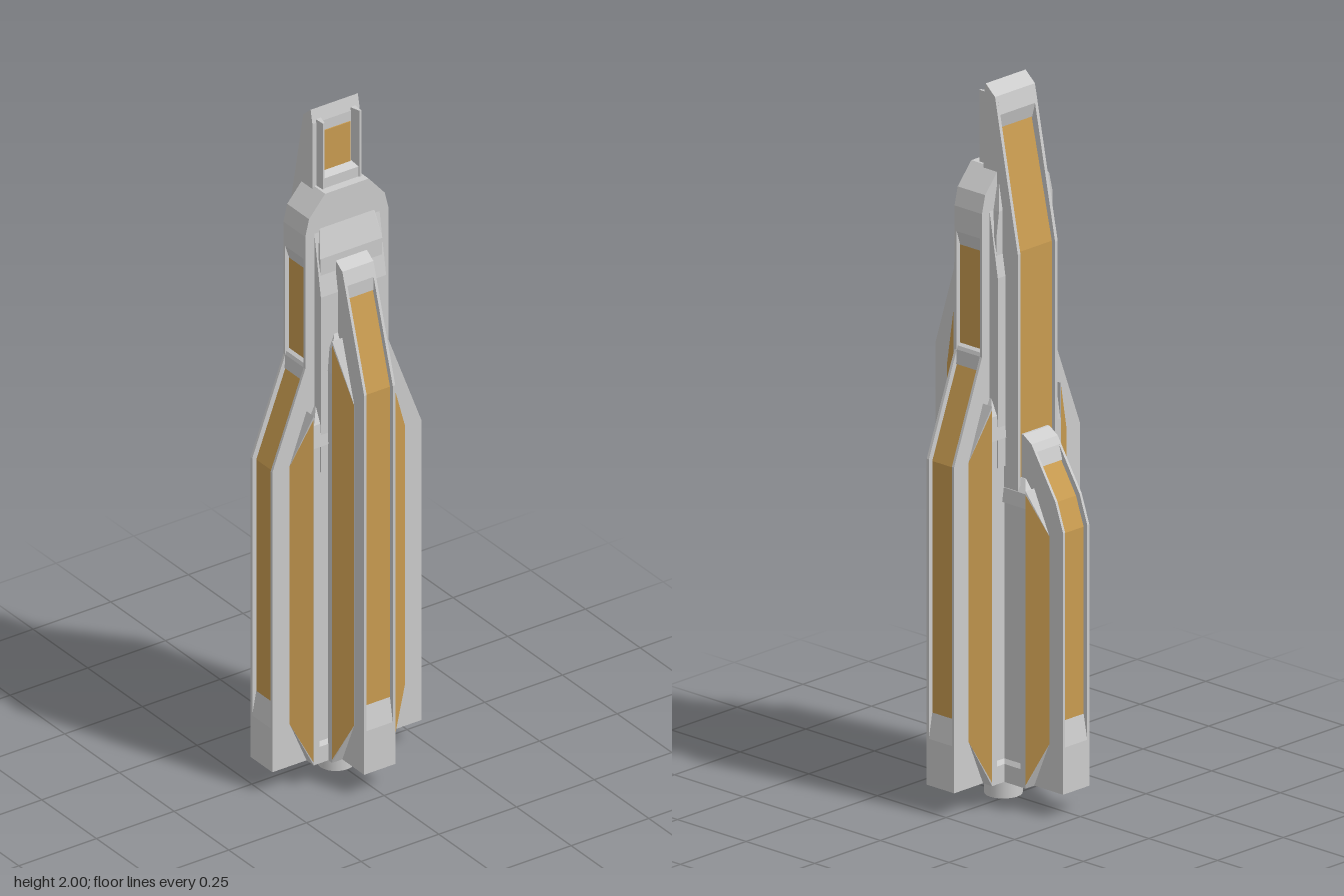
import * as THREE from 'three';
import { ConvexGeometry } from 'three/addons/geometries/ConvexGeometry.js';

const grey = new THREE.MeshStandardMaterial({ color: 0xcccccc, flatShading: true });
const amber = new THREE.MeshStandardMaterial({ color: 0xc89b50, flatShading: true, side: THREE.DoubleSide });
const AXIS = 0.03; // the core sits slightly off centre

function add(parent, name, geometry, material = grey) {
  const mesh = new THREE.Mesh(geometry, material);
  mesh.name = name;
  parent.add(mesh);
  return mesh;
}

// Flat outline in x,y extruded between two z values
function slab(points, z0, z1) {
  const shape = new THREE.Shape(points.map(([x, y]) => new THREE.Vector2(x, y)));
  const g = new THREE.ExtrudeGeometry(shape, { depth: z1 - z0, bevelEnabled: false });
  return g.translate(0, 0, z0);
}

const hull = (points) => new ConvexGeometry(points.map((p) => new THREE.Vector3(...p)));

function quad(a, b, c, d) {
  const g = new THREE.BufferGeometry();
  g.setAttribute('position', new THREE.Float32BufferAttribute([...a, ...b, ...c, ...a, ...c, ...d], 3));
  g.computeVertexNormals();
  return g;
}

// Stacked rectangles [y, xMin, xMax, halfDepth] joined into one convex block
const stack = (rows) => hull(rows.flatMap(([y, x0, x1, w]) =>
  [[x0, y, -w], [x1, y, -w], [x0, y, w], [x1, y, w]]));

// Distance of the outer edge from the axis at a height
function edgeAt(edge, y) {
  for (let i = 1; i < edge.length; i++) {
    const [t0, y0] = edge[i - 1], [t1, y1] = edge[i];
    if (y <= y1) return y <= y0 ? t0 : t0 + (t1 - t0) * (y - y0) / (y1 - y0);
  }
  return edge[edge.length - 1][0];
}

// Buttress pointing along +x: rails, recessed strip, foot and cap
function buttress(name, { base, edge, stripTop, width = 0.05, foot = true }) {
  const group = new THREE.Group();
  group.name = name;
  const rail = 0.008, recess = 0.013;
  const T = edge[0][0], top = edge[edge.length - 1][1];
  const inner = width - rail;

  const outline = [[0, base], [T, base], ...edge, [0, top]];
  for (const s of [-1, 1]) {
    const z = s * (width - rail / 2);
    add(group, 'rail', slab(outline, z - rail / 2, z + rail / 2));
  }
  const sunk = [[0, base + 0.005], [T - recess, base + 0.005],
    ...edge.map(([t, y]) => [t - recess, y - 0.008]), [0, top - 0.008]];
  add(group, 'strip', slab(sunk, -inner, inner), amber);

  if (foot) {
    add(group, 'foot', slab([[0, base], [T, base], [T, base + 0.13],
      [T - recess, base + 0.2], [0, base + 0.2]], -inner, inner));
  }
  const lip = stripTop + 0.04;
  add(group, 'cap', slab([[0, stripTop], [edgeAt(edge, stripTop) - recess, stripTop],
    [edgeAt(edge, lip), lip], ...edge.filter((p) => p[1] > lip + 0.001), [0, top]], -inner, inner));
  return group;
}

// Flared flanks with amber side panels, and the square shoulder behind them
function flanks(group, { base, outerTop, innerTop, shoulderTop, capHeight }) {
  const t0 = 0.13, t1 = 0.185, w0 = 0.083, w1 = 0.05;
  for (const s of [-1, 1]) {
    add(group, 'flank', hull([
      [t0, base, s * 0.04], [t0, base, s * w0], [t1, base + 0.13, s * w1], [t1, base + 0.13, s * 0.04],
      [t0, innerTop, s * 0.04], [t0, innerTop, s * w0], [t1, outerTop, s * w1], [t1, outerTop, s * 0.04],
    ]));
    const e = 0.0015;
    add(group, 'flankPanel', quad(
      [t0 + e, base + 0.01, s * (w0 + e)], [t1 + e, base + 0.13, s * (w1 + e)],
      [t1 + e, outerTop, s * (w1 + e)], [t0 + e, innerTop - 0.01, s * (w0 + e)]), amber);
    // corner post standing proud of the shoulder
    add(group, 'cornerPost', stack([
      [base, 0.112, t0, 0.006], [shoulderTop - capHeight, 0.112, t0, 0.006],
    ])).position.z = s * (w0 - 0.006);
  }
  add(group, 'shoulderFoot', stack([[base, 0, t0, w0], [base + 0.05, 0, t0, w0], [base + 0.065, 0, t0 - 0.01, w0 - 0.01]]));
  add(group, 'shoulder', stack([[base, 0, t0 - 0.01, w0 - 0.008], [shoulderTop - capHeight, 0, t0 - 0.01, w0 - 0.008]]));
  add(group, 'shoulderCap', stack([
    [shoulderTop - capHeight, 0, t0, w0], [shoulderTop - capHeight * 0.45, 0, t0 - 0.005, w0 - 0.006],
    [shoulderTop, 0, 0.1, 0.052],
  ]));
}

export function createModel() {
  const model = new THREE.Group();
  model.name = 'tower';
  const base = 0.07;

  // Central core and round foot
  add(model, 'core', stack([[base, -0.05, 0.095, 0.07], [1.55, -0.05, 0.095, 0.07]]));
  const pin = new THREE.MeshStandardMaterial({ color: 0xcccccc });
  add(model, 'footPin', new THREE.CylinderGeometry(0.051, 0.051, 0.15, 24), pin).position.set(AXIS, 0.075, 0);

  // Four main buttresses
  const back = { base, edge: [[0.24, 0.98], [0.13, 1.27], [0.1, 1.29]], stripTop: 1.22 };
  const backFlank = { base, outerTop: 0.98, innerTop: 1.13, shoulderTop: 1.15, capHeight: 0.12 };
  const specs = [
    ['leftButtress', 0, 0,
      { base, edge: [[0.23, 1.22], [0.13, 1.55], [0.1, 1.57]], stripTop: 1.47 },
      { base, outerTop: 1.17, innerTop: 1.35, shoulderTop: 1.38, capHeight: 0.13 }],
    ['rightButtress', Math.PI, 0,
      { base, edge: [[0.235, 0.8], [0.207, 0.88], [0.12, 1.02], [0.09, 1.04]], stripTop: 0.96 },
      { base, outerTop: 0.78, innerTop: 0.9, shoulderTop: 0.92, capHeight: 0.07 }],
    ['frontButtress', -Math.PI / 2, AXIS, back, backFlank],
    ['backButtress', Math.PI / 2, AXIS, back, backFlank],
  ];
  for (const [name, turn, x, shape, flank] of specs) {
    const b = buttress(name, shape);
    flanks(b, flank);
    b.rotation.y = turn;
    b.position.x = x;
    model.add(b);
  }

  // Upper front and back buttresses with tapering grey cheeks
  for (const s of [-1, 1]) {
    const b = buttress(s > 0 ? 'upperFrontButtress' : 'upperBackButtress', {
      base: 0.95, edge: [[0.134, 1.66], [0.122, 1.71], [0.07, 1.77]], stripTop: 1.55, foot: false,
    });
    add(b, 'cheek', stack([[0.95, 0, 0.105, 0.08], [1.48, 0, 0.105, 0.08], [1.66, 0, 0.105, 0.05]]));
    b.rotation.y = -s * Math.PI / 2;
    b.position.x = AXIS;
    model.add(b);
  }

  // Crown that closes the core below the spire
  add(model, 'crown', stack([
    [1.25, -0.04, 0.1, 0.09], [1.59, -0.04, 0.1, 0.1], [1.66, -0.04, 0.082, 0.09], [1.77, -0.02, 0.055, 0.068],
  ]));

  // Spire: tall blade with side rails and a recessed strip
  const spire = new THREE.Group();
  spire.name = 'spire';
  const blade = [[0.03, 0.85], [0.03, 1.96], [0.022, 2], [-0.012, 1.97], [-0.095, 1.55], [-0.095, 0.85]];
  const sunk = [[0.028, 0.86], [0.028, 1.94], [0.004, 1.94], [-0.083, 1.55], [-0.083, 0.86]];
  for (const s of [-1, 1]) {
    add(spire, 'spireRail', slab(blade, s * 0.071 - 0.005, s * 0.071 + 0.005));
  }
  add(spire, 'spireStrip', slab(sunk, -0.067, 0.067), amber);
  add(spire, 'spireTip', slab([[0.03, 1.88], [0.03, 1.96], [0.022, 2], [-0.012, 1.97], [-0.022, 1.92], [-0.012, 1.88]], -0.067, 0.067));
  add(spire, 'spireBack', slab([[0.02, 1.6], [0.03, 1.6], [0.03, 1.96], [0.02, 1.96]], -0.075, 0.075));

  // Window on the inner side of the spire
  for (const s of [-1, 1]) {
    add(spire, 'windowJamb', hull([
      [0.02, 1.74, s * 0.045], [0.058, 1.74, s * 0.056], [0.02, 1.74, s * 0.064], [0.058, 1.74, s * 0.062],
      [0.02, 1.97, s * 0.045], [0.058, 1.97, s * 0.056], [0.02, 1.97, s * 0.064], [0.058, 1.97, s * 0.062],
    ]));
  }
  add(spire, 'windowSill', stack([[1.74, 0, 0.055, 0.055], [1.8, 0, 0.055, 0.055], [1.81, 0, 0.032, 0.055]]));
  add(spire, 'windowPane', new THREE.BoxGeometry(0.006, 0.12, 0.09), amber).position.set(0.03, 1.87, 0);
  model.add(spire);

  return model;
}
